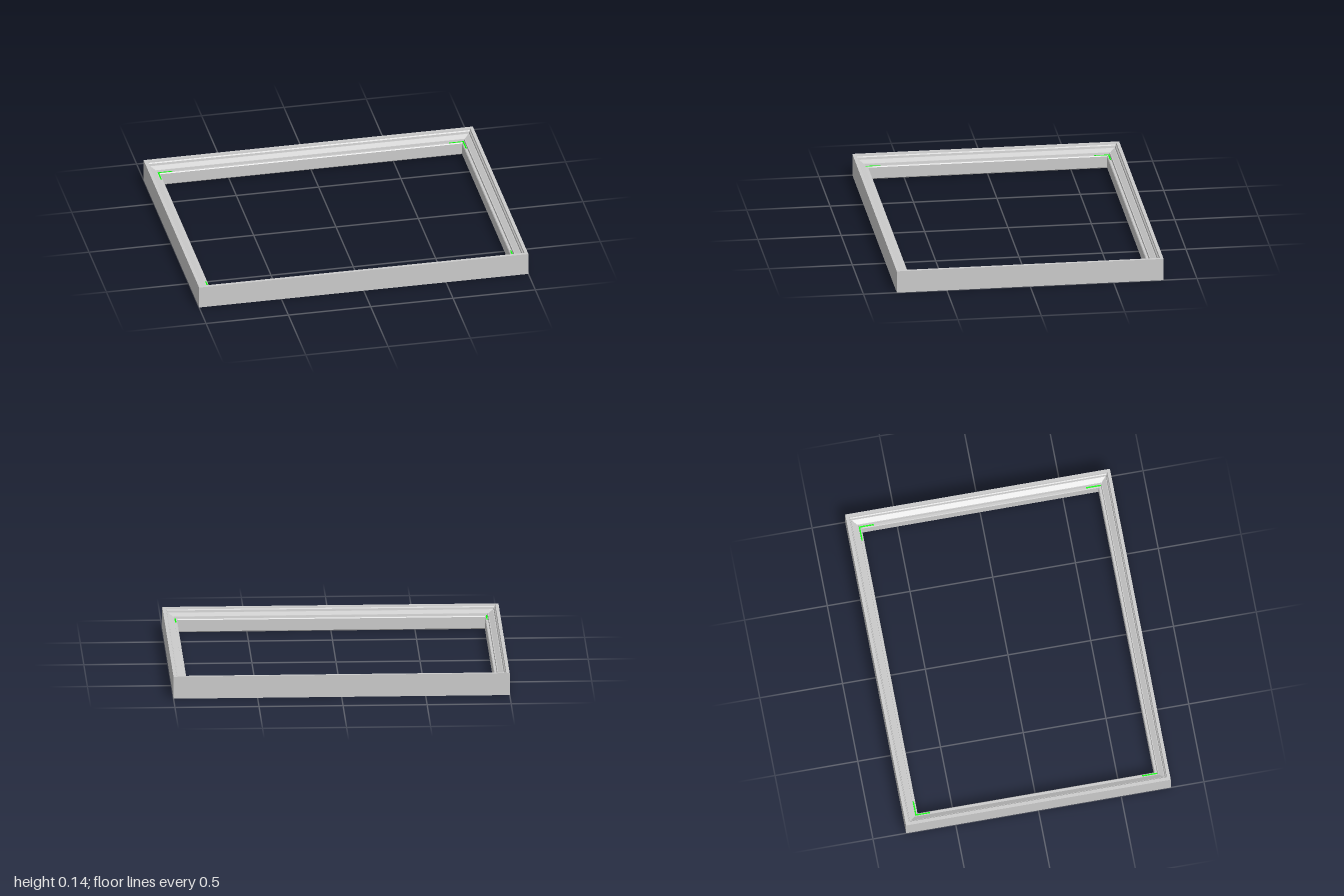
import * as THREE from 'three';

const HALF_X = 1, HALF_Z = 0.8;

// Moulding section: [distance inward from the outer wall, height]
const PROFILE = [
  [0, 0], [0.08, 0], [0.085, 0.006], [0.085, 0.075], [0.081, 0.08],
  [0.068, 0.08], [0.066, 0.092], [0.061, 0.092], [0.034, 0.108],
  [0.03, 0.108], [0.028, 0.12], [0.022, 0.125], [0.02, 0.135], [0, 0.135],
];

// Corner signs in order round the frame, starting with the front rail
const CORNERS = [[-1, 1], [1, 1], [1, -1], [-1, -1]];

// Sweep the section between two mitred corners
function railGeometry(from, to) {
  const at = ([sx, sz], [d, y]) => [sx * (HALF_X - d), y, sz * (HALF_Z - d)];
  const pos = [];
  PROFILE.forEach((p, i) => {
    const q = PROFILE[(i + 1) % PROFILE.length];
    const a0 = at(from, p), a1 = at(to, p), b0 = at(from, q), b1 = at(to, q);
    pos.push(...a0, ...b0, ...b1, ...a0, ...b1, ...a1);
  });
  const g = new THREE.BufferGeometry();
  g.setAttribute('position', new THREE.Float32BufferAttribute(pos, 3));
  g.computeVertexNormals();
  return g;
}

export function createModel() {
  const model = new THREE.Group();
  model.name = 'pictureFrame';
  const grey = new THREE.MeshStandardMaterial({ color: 0xcccccc, flatShading: true });
  const green = new THREE.MeshStandardMaterial({ color: 0x00ff00 });

  // Four mitred rails
  ['frontRail', 'leftRail', 'backRail', 'rightRail'].forEach((name, i) => {
    const rail = new THREE.Mesh(railGeometry(CORNERS[i], CORNERS[(i + 1) % 4]), grey);
    rail.name = name;
    model.add(rail);
  });

  // Thin L-shaped corner brackets lying on the inner ledge
  for (const [sx, sz] of CORNERS) {
    const bracket = new THREE.Group();
    bracket.name = 'cornerBracket';
    const alongX = new THREE.Mesh(new THREE.BoxGeometry(0.09, 0.002, 0.008), green);
    alongX.position.set(sx * 0.885, 0.08, sz * 0.727);
    const alongZ = new THREE.Mesh(new THREE.BoxGeometry(0.008, 0.002, 0.09), green);
    alongZ.position.set(sx * 0.926, 0.08, sz * 0.686);
    bracket.add(alongZ);
    // Only the back brackets show their crosswise arm
    if (sz < 0) bracket.add(alongX);
    model.add(bracket);
  }
  return model;
}
